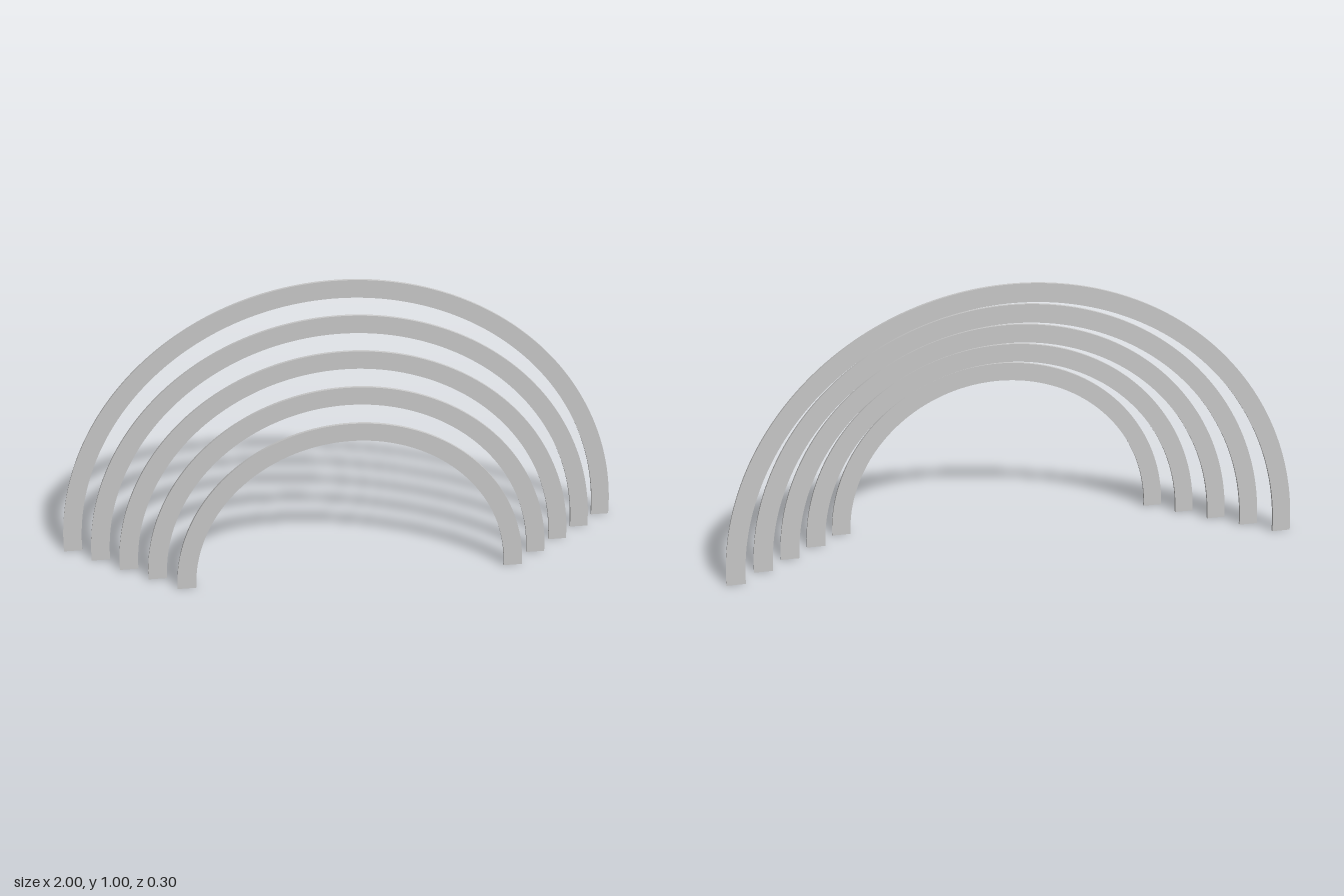
import * as THREE from 'three';
import { toCreasedNormals } from 'three/addons/utils/BufferGeometryUtils.js';

const COUNT = 5;
const BAND = 0.065; // radial width of each arch
const DEPTH = 0.01; // thickness along z
const RADIUS_STEP = 0.098;
const Z_STEP = 0.0735;

// Flat half ring standing on y = 0, centred on z = 0
function archGeometry(outer) {
  const shape = new THREE.Shape();
  shape.absarc(0, 0, outer, 0, Math.PI, false);
  shape.absarc(0, 0, outer - BAND, Math.PI, 0, true);
  shape.closePath();
  const geometry = new THREE.ExtrudeGeometry(shape, {
    depth: DEPTH, bevelEnabled: false, curveSegments: 64,
  });
  geometry.translate(0, 0, -DEPTH / 2);
  return toCreasedNormals(geometry, 0.5);
}

export function createModel() {
  const model = new THREE.Group();
  model.name = 'steppedArches';
  const material = new THREE.MeshStandardMaterial({ color: 0xcccccc });

  // Arches shrink from the back to the front
  for (let i = 0; i < COUNT; i++) {
    const arch = new THREE.Mesh(archGeometry(1 - i * RADIUS_STEP), material);
    arch.name = `arch${i + 1}`;
    arch.position.z = (i - (COUNT - 1) / 2) * Z_STEP;
    model.add(arch);
  }
  return model;
}
